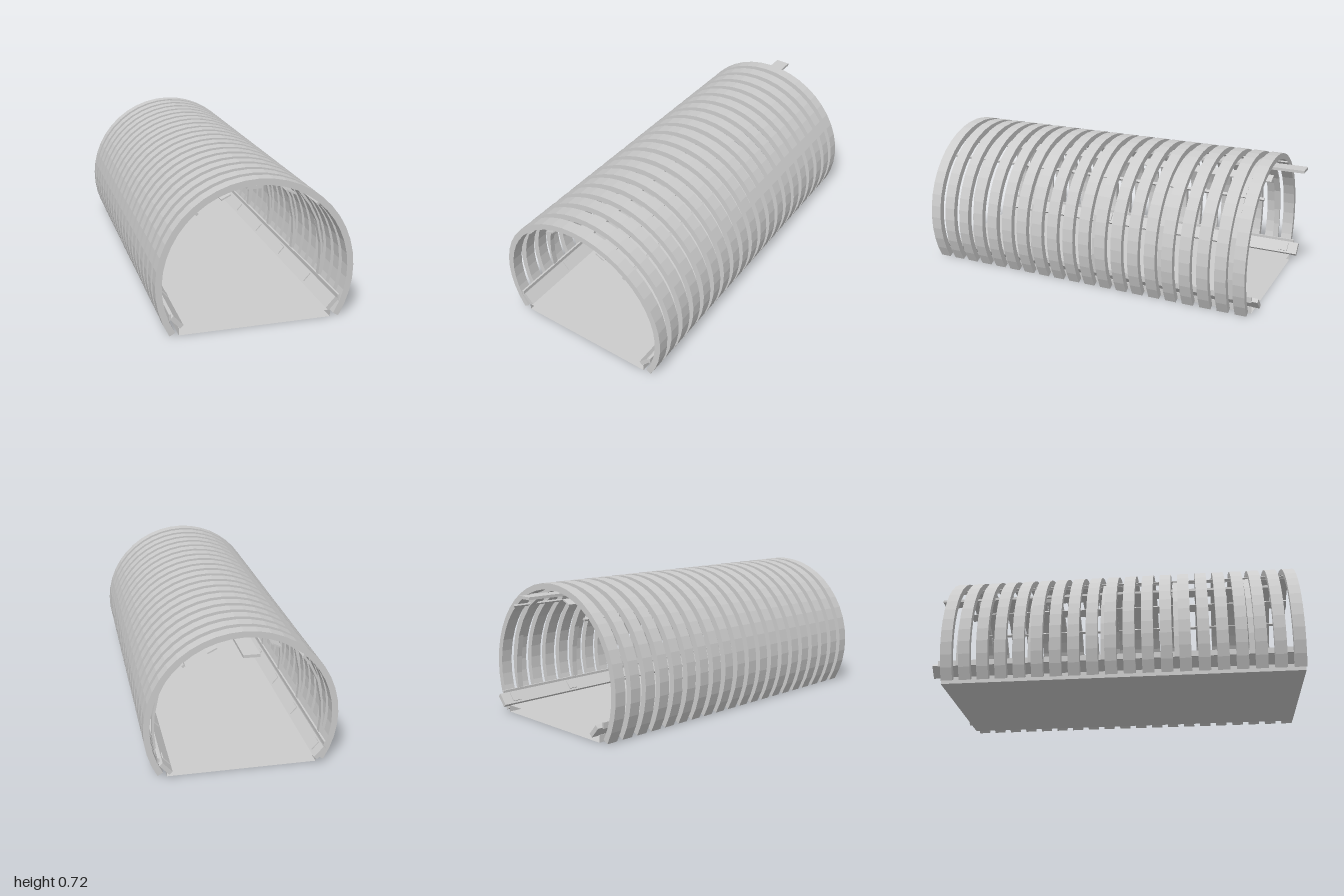
import * as THREE from 'three';

const grey = new THREE.MeshStandardMaterial({ color: 0xcccccc });
const greyOpen = new THREE.MeshStandardMaterial({ color: 0xcccccc, side: THREE.DoubleSide });

const RIBS = 20, PITCH = 0.0941, RIB_DEPTH = 0.06;
const HOOP_Z = [0.74, 0.365, -0.01, -0.385, -0.76];

// Outline in x/y pulled from z0 to z1
function extrude(points, z0, z1) {
  const shape = new THREE.Shape(points);
  const geo = new THREE.ExtrudeGeometry(shape, { depth: z1 - z0, bevelEnabled: false });
  return geo.translate(0, 0, z0);
}

// Closed outline of a band of given thickness along an open path
function band(path, thickness) {
  const offset = (side) => path.map((p, i) => {
    const a = path[Math.max(i - 1, 0)], b = path[Math.min(i + 1, path.length - 1)];
    const t = b.clone().sub(a).normalize();
    return new THREE.Vector2(p.x - t.y * side * thickness / 2, p.y + t.x * side * thickness / 2);
  });
  return [...offset(1), ...offset(-1).reverse()];
}

export function createModel() {
  const model = new THREE.Group();
  const add = (name, geo, material = grey) => {
    const mesh = new THREE.Mesh(geo, material);
    mesh.name = name;
    model.add(mesh);
    return mesh;
  };
  // Bar along z, width w and height h in the x/y plane, turned by angle
  const bar = (name, x, y, w, h, z0, z1, angle = 0) => {
    const mesh = add(name, new THREE.BoxGeometry(w, h, z1 - z0));
    mesh.position.set(x, y, (z0 + z1) / 2);
    mesh.rotation.z = angle;
  };

  // Outer ribs: open circular arches
  const arc = (r) => {
    const points = [];
    for (let i = 0; i <= 30; i++) {
      const a = THREE.MathUtils.degToRad(-30 + i * 8);
      points.push(new THREE.Vector2(r * Math.cos(a), 0.24 + r * Math.sin(a)));
    }
    return points;
  };
  const ribGeo = extrude([...arc(0.48), ...arc(0.449).reverse()], -RIB_DEPTH / 2, RIB_DEPTH / 2);
  for (let i = 0; i < RIBS; i++) {
    add('rib', ribGeo).position.z = 0.97 - i * PITCH;
  }

  // Thin inner hoops
  const half = [[0.414, 0.08], [0.424, 0.19], [0.42, 0.28], [0.395, 0.4], [0.35, 0.49],
    [0.285, 0.575], [0.18, 0.643], [0.09, 0.673]].map(([x, y]) => new THREE.Vector2(x, y));
  const mirrored = half.map((p) => new THREE.Vector2(-p.x, p.y)).reverse();
  const hoopPath = [...half, new THREE.Vector2(0, 0.682), ...mirrored];
  const hoopGeo = extrude(band(hoopPath, 0.011), -0.015, 0.015);
  for (const z of HOOP_Z) add('innerHoop', hoopGeo).position.z = z;

  // Lengthwise members on both sides
  for (const s of [-1, 1]) {
    bar('sillBar', s * 0.381, 0.067, 0.07, 0.022, -0.9, 1, s * 0.84);
    bar('footRail', s * 0.412, 0.095, 0.01, 0.03, -0.87, 1);
    bar('shoulderRod', s * 0.287, 0.58, 0.014, 0.012, -0.87, 1, -s * 0.7);
    bar('roofStrip', s * 0.153, 0.645, 0.05, 0.007, -0.87, 1, -s * 0.45);
    // Small plates on the sill
    for (const z of HOOP_Z) {
      bar('sillPlate', s * 0.372, 0.077, 0.05, 0.006, z - 0.085, z - 0.035, s * 0.84);
    }
  }

  // Crown beam with tapered hangers
  bar('crownBeam', 0, 0.664, 0.078, 0.014, -1, 0.95);
  const hanger = [[-0.025, 0.66], [-0.016, 0.637], [0.016, 0.637], [0.025, 0.66]]
    .map(([x, y]) => new THREE.Vector2(x, y));
  const hangerGeo = extrude(hanger, -0.03, 0.03);
  for (const z of HOOP_Z) add('hanger', hangerGeo).position.z = z;

  // Floor: flat hollow deck, open at both ends
  const w = 0.372, h = 0.036, z0 = -0.86, z1 = 1, len = z1 - z0, mid = (z0 + z1) / 2;
  const sheet = (name, width, rx, ry, x, y) => {
    const geo = rx ? new THREE.PlaneGeometry(width, len) : new THREE.PlaneGeometry(len, width);
    const mesh = add(name, geo, greyOpen);
    mesh.rotation.set(rx, ry, 0);
    mesh.position.set(x, y, mid);
  };
  sheet('floorTop', 2 * w, -Math.PI / 2, 0, 0, h);
  sheet('floorUnderside', 2 * w, Math.PI / 2, 0, 0, 0);
  for (const s of [-1, 1]) sheet('floorSide', h, 0, s * Math.PI / 2, s * w, h / 2);

  return model;
}
